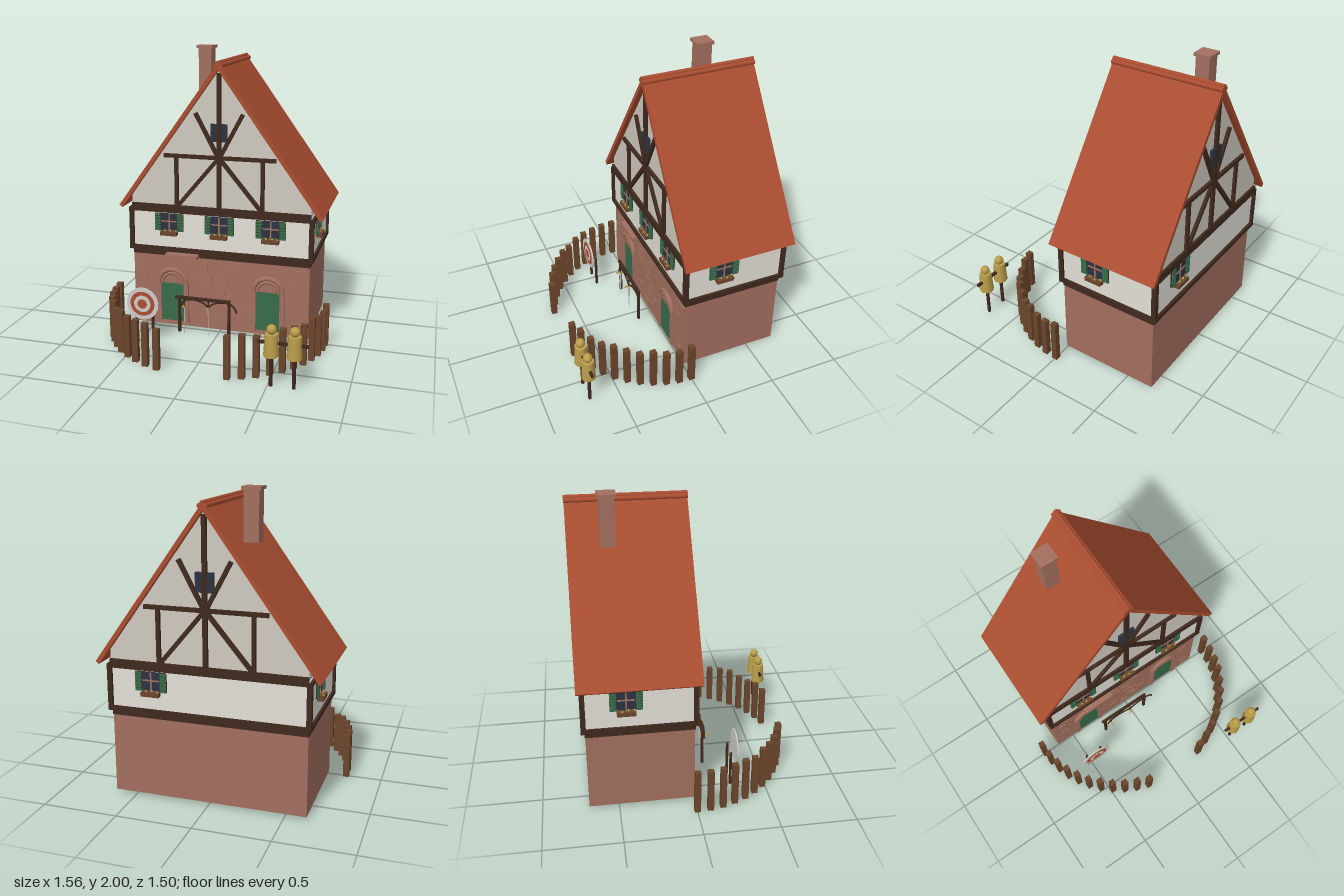
import * as THREE from 'three';

const mat = (name, color, side = THREE.FrontSide) => {
  const m = new THREE.MeshStandardMaterial({ color, side });
  m.name = name;
  return m;
};

export function createModel() {
  const brick = mat('brick', 0xa26f5e), plaster = mat('plaster', 0xe2dfd7), gableMat = mat('gable plaster', 0xcfcac0);
  const timber = mat('dark timber', 0x40291e), roofMat = mat('roof tile', 0xab4e31), glass = mat('window glass', 0x2b3442);
  const green = mat('green paint', 0x376b4a), wood = mat('fence wood', 0x6b452b), straw = mat('straw', 0xbb9f4b);
  const pale = mat('pale metal', 0xcfcdc8);

  const model = new THREE.Group();
  model.name = 'timberHouse';
  const mesh = (parent, name, geo, m, x = 0, y = 0, z = 0) => {
    const o = new THREE.Mesh(geo, m);
    o.name = name;
    o.position.set(x, y, z);
    parent.add(o);
    return o;
  };
  // box given by its limits
  const box = (parent, name, m, x0, x1, y0, y1, z0, z1) =>
    mesh(parent, name, new THREE.BoxGeometry(x1 - x0, y1 - y0, z1 - z0), m, (x0 + x1) / 2, (y0 + y1) / 2, (z0 + z1) / 2);
  const group = (parent, name, x = 0, y = 0, z = 0, turn = 0) => {
    const g = new THREE.Group();
    g.name = name;
    g.position.set(x, y, z);
    g.rotation.y = turn;
    parent.add(g);
    return g;
  };
  const prism = (points, depth) => new THREE.ExtrudeGeometry(
    new THREE.Shape(points.map(([x, y]) => new THREE.Vector2(x, y))), { depth, bevelEnabled: false });
  let seed = 7;
  const rand = () => (seed = (seed * 16807) % 2147483647) / 2147483647;

  // walls
  box(model, 'groundFloor', brick, -0.64, 0.64, 0.02, 0.56, -0.695, 0);
  box(model, 'upperFloor', plaster, -0.645, 0.645, 0.58, 0.9, -0.705, 0.005);
  mesh(model, 'gable', prism([[-0.64, 0.9], [0.64, 0.9], [0.64, 0.985], [0, 1.878], [-0.64, 0.985]], 0.71), gableMat, 0, 0, -0.705);

  // horizontal timbers and corner posts
  box(model, 'lowerSill', timber, -0.643, 0.643, 0.547, 0.585, -0.7, 0.004);
  box(model, 'upperSill', timber, -0.662, 0.662, 0.583, 0.613, -0.724, 0.024);
  for (const [z0, z1] of [[-0.722, -0.69], [-0.01, 0.022]]) {
    box(model, 'gableBeam', timber, -0.64, 0.64, 0.868, 0.925, z0, z1);
    for (const s of [-1, 1]) {
      const post = box(model, 'cornerPost', timber, -0.016, 0.016, 0.6, 0.89, z0, z1);
      post.position.x = s * 0.646;
    }
  }
  for (const s of [-1, 1]) box(model, 'sideBeam', timber, s * 0.65 - 0.012, s * 0.65 + 0.012, 0.868, 0.892, -0.71, 0.01);

  // gable framing, same at both ends
  const frameGable = (z, turn) => {
    const g = group(model, 'gableFraming', 0, 0, z, turn);
    const strut = (x0, y0, x1, y1, w = 0.026) => {
      const o = mesh(g, 'strut', new THREE.BoxGeometry(w, Math.hypot(x1 - x0, y1 - y0), 0.03), timber, (x0 + x1) / 2, (y0 + y1) / 2, 0.005);
      o.rotation.z = -Math.atan2(x1 - x0, y1 - y0);
    };
    strut(0, 0.9, 0, 1.85, 0.03);
    strut(-0.395, 1.278, 0.395, 1.278);
    for (const s of [-1, 1]) {
      strut(s * 0.305, 0.91, s * 0.305, 1.27);
      strut(0, 1.28, s * 0.3, 0.92);
      strut(0, 1.27, s * 0.165, 1.58);
    }
    box(g, 'atticWindow', glass, -0.058, 0.058, 1.388, 1.51, 0, 0.018);
    box(g, 'atticWindowBar', timber, -0.058, 0.058, 1.445, 1.453, 0, 0.022);
  };
  frameGable(0.005, 0);
  frameGable(-0.705, Math.PI);

  // shuttered windows with flower boxes
  const addWindow = (x, z, turn) => {
    const g = group(model, 'window', x, 0.797, z, turn);
    box(g, 'pane', glass, -0.062, 0.062, -0.065, 0.063, -0.005, 0.006);
    box(g, 'mullion', brick, -0.005, 0.005, -0.06, 0.06, 0, 0.011);
    box(g, 'transom', brick, -0.055, 0.055, 0.002, 0.011, 0, 0.011);
    for (const s of [-1, 1]) {
      box(g, 'shutter', timber, s * 0.083 - 0.021, s * 0.083 + 0.021, -0.063, 0.063, -0.005, 0.01);
      for (let i = 0; i < 6; i++)
        box(g, 'slat', green, s * 0.083 - 0.021, s * 0.083 + 0.021, -0.063 + i * 0.0215, -0.0465 + i * 0.0215, 0, 0.016);
    }
    box(g, 'flowerBox', wood, -0.06, 0.06, -0.092, -0.066, 0, 0.04);
    for (let i = 0; i < 9; i++)
      mesh(g, 'flower', new THREE.IcosahedronGeometry(0.008, 0), [green, roofMat, straw][i % 3],
        -0.052 + i * 0.013, -0.062 + 0.006 * rand(), 0.015 + 0.018 * rand());
  };
  for (const x of [-0.365, 0, 0.365]) addWindow(x, 0.005, 0);
  addWindow(0.365, -0.705, Math.PI);
  addWindow(0.645, -0.265, Math.PI / 2);
  addWindow(-0.645, -0.435, -Math.PI / 2);

  // roof, ridge and chimney
  mesh(model, 'roof', prism([[0, 1.92], [-0.727, 0.907], [-0.705, 0.89], [0, 1.872], [0.705, 0.89], [0.727, 0.907]], 0.784), roofMat, 0, 0, -0.742);
  for (const [x, y] of [[0, 1.916], [-0.017, 1.9], [0.017, 1.9]])
    mesh(model, 'ridgeTile', new THREE.CylinderGeometry(0.016, 0.016, 0.79, 8), roofMat, x, y, -0.35).rotation.x = Math.PI / 2;
  box(model, 'chimney', brick, -0.28, -0.183, 1.67, 1.982, -0.537, -0.44);
  box(model, 'chimneyCap', brick, -0.292, -0.172, 1.98, 2, -0.548, -0.428);

  // arched doorways
  for (const x of [-0.347, 0.352]) {
    const g = group(model, 'doorway', x, 0, 0);
    box(g, 'door', green, -0.086, 0.086, 0.055, 0.342, -0.01, 0.008);
    for (const s of [-1, 1]) box(g, 'jamb', brick, s * 0.102 - 0.017, s * 0.102 + 0.017, 0.05, 0.342, 0, 0.018);
    mesh(g, 'tympanum', new THREE.CylinderGeometry(0.09, 0.09, 0.01, 24, 1, false, Math.PI / 2, Math.PI), brick, 0, 0.342, 0.005).rotation.x = Math.PI / 2;
    for (const [r, t] of [[0.103, 0.017], [0.075, 0.012]])
      mesh(g, 'arch', new THREE.TorusGeometry(r, t, 8, 20, Math.PI), brick, 0, 0.342, 0.01);
  }
  box(model, 'ledge', brick, -0.385, -0.15, 0.546, 0.574, 0, 0.06);

  // loose raised bricks on the front wall
  for (let i = 0; i < 46; i++) {
    const row = Math.floor(rand() * 14), x = -0.6 + 1.2 * rand(), y = 0.05 + row * 0.035;
    if (y < 0.48 && Math.abs(Math.abs(x) - 0.35) < 0.16) continue;
    box(model, 'raisedBrick', brick, x - 0.032, x + 0.032, y - 0.014, y + 0.014, -0.005, 0.006);
  }

  // curved palisade
  for (const s of [-1, 1]) {
    for (let i = 0; i <= 10; i++) {
      const a = i * Math.PI / 25, h = 0.28 + 0.02 * rand();
      const post = mesh(model, 'fencePost', new THREE.BoxGeometry(0.04, h, 0.04), wood, s * 0.76 * Math.cos(a), h / 2, 0.7 * Math.sin(a));
      post.scale.y = i % 3 ? 1 : 0.3 / h;
      post.position.y *= post.scale.y;
    }
  }

  // straw training dummies
  for (const x of [0.525, 0.67]) {
    const g = group(model, 'trainingDummy', x, 0, 0.7);
    mesh(g, 'pole', new THREE.CylinderGeometry(0.012, 0.012, 0.22, 8), timber, 0, 0.12, 0);
    mesh(g, 'body', new THREE.CylinderGeometry(0.042, 0.05, 0.145, 8), straw, 0, 0.285, 0);
    mesh(g, 'head', new THREE.SphereGeometry(0.033, 8, 6), straw, 0, 0.385, 0);
    box(g, 'arms', timber, -0.086, 0.086, 0.29, 0.308, -0.009, 0.009);
  }

  // archery target
  const target = group(model, 'archeryTarget', -0.467, 0.285, 0.3);
  [[0.116, pale], [0.088, roofMat], [0.06, pale], [0.034, roofMat]].forEach(([r, m], i) => {
    mesh(target, 'targetRing', new THREE.CylinderGeometry(r, r, 0.008, 24), m, 0, 0, i * 0.002).rotation.x = Math.PI / 2;
  });
  for (const x of [-0.06, 0.06]) box(target, 'targetLeg', timber, x - 0.008, x + 0.008, -0.265, -0.02, -0.045, -0.029);

  // weapon rack with swords and bow
  const rack = group(model, 'weaponRack', 0, 0, 0.115);
  box(rack, 'rackBar', timber, -0.29, 0.11, 0.275, 0.293, -0.01, 0.01);
  for (const x of [-0.262, 0.1]) box(rack, 'rackPost', timber, x - 0.009, x + 0.009, 0.025, 0.28, -0.009, 0.009);
  for (const x of [-0.22, -0.045]) {
    const g = group(rack, 'sword', x, 0, 0.018);
    mesh(g, 'grip', new THREE.CylinderGeometry(0.005, 0.005, 0.06, 6), timber, 0, 0.26, 0);
    box(g, 'guard', straw, -0.005, 0.005, 0.225, 0.235, -0.032, 0.032);
    mesh(g, 'blade', new THREE.CylinderGeometry(0.01, 0.002, 0.205, 4), pale, 0, 0.125, 0).scale.x = 0.4;
  }
  const bowPath = [[-0.25, 0.215], [-0.235, 0.25], [-0.2, 0.278], [-0.13, 0.28], [-0.075, 0.262], [-0.045, 0.24],
    [-0.015, 0.262], [0.04, 0.28], [0.11, 0.278], [0.145, 0.25], [0.16, 0.215]];
  const curve = new THREE.CatmullRomCurve3(bowPath.map(([x, y]) => new THREE.Vector3(x, y, 0.018)));
  mesh(rack, 'bow', new THREE.TubeGeometry(curve, 40, 0.006, 6), timber);

  return model;
}
